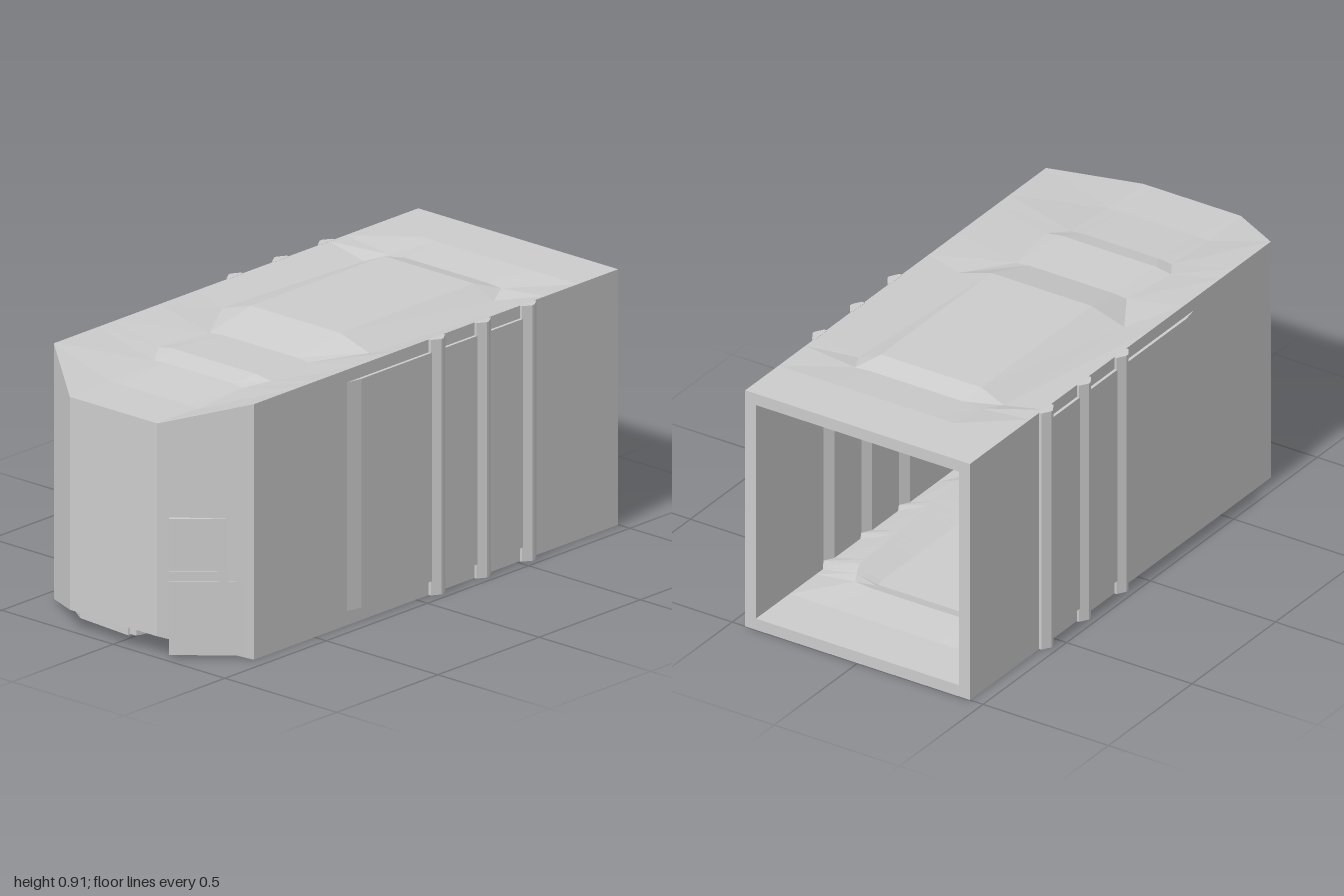
import * as THREE from 'three';

const mat = new THREE.MeshStandardMaterial({ color: 0xcccccc, flatShading: true });

function add(parent, name, geo, x = 0, y = 0, z = 0) {
  const m = new THREE.Mesh(geo, mat);
  m.name = name;
  m.position.set(x, y, z);
  parent.add(m);
  return m;
}

// Box given by its min and max on each axis
function block(parent, name, x0, x1, y0, y1, z0, z1) {
  return add(parent, name, new THREE.BoxGeometry(x1 - x0, y1 - y0, z1 - z0),
    (x0 + x1) / 2, (y0 + y1) / 2, (z0 + z1) / 2);
}

// Upright prism from [x, z] corners, standing between two heights
function prism(parent, name, corners, y0, y1) {
  const s = new THREE.Shape(corners.map(([x, z]) => new THREE.Vector2(x, -z)));
  const g = new THREE.ExtrudeGeometry(s, { depth: y1 - y0, bevelEnabled: false }).rotateX(-Math.PI / 2);
  return add(parent, name, g, 0, y0, 0);
}

// Flat-shaded skin over a row of rings, closed at both ends
function skin(rings) {
  const n = rings[0].length, idx = [];
  for (let r = 0; r < rings.length - 1; r++) {
    for (let j = 0; j < n; j++) {
      const a = r * n + j, b = r * n + (j + 1) % n;
      idx.push(a, b, b + n, a, b + n, a + n);
    }
  }
  const e = (rings.length - 1) * n;
  for (let j = 1; j < n - 1; j++) idx.push(0, j + 1, j, e, e + j, e + j + 1);
  const g = new THREE.BufferGeometry();
  g.setAttribute('position', new THREE.Float32BufferAttribute(rings.flat(2), 3));
  g.setIndex(idx);
  const flat = g.toNonIndexed();
  flat.computeVertexNormals();
  return flat;
}

// Relief of roof and floor: x, edge dip, valley z, valley dip, crown z, crown dip
const relief = [
  [-1, 0.075, 0.19, 0.075, 0.15, 0.075],
  [-0.8, 0, 0.2, 0.075, 0.15, 0.073],
  [-0.58, 0, 0.2, 0.06, 0.15, 0.055],
  [-0.5, 0, 0.25, 0.045, 0.19, 0.035],
  [-0.28, 0, 0.22, 0.045, 0.17, 0.04],
  [-0.1, 0, 0.33, 0.033, 0.2, -0.007],
  [0.56, 0, 0.29, 0.033, 0.2, -0.007],
  [0.64, 0, 0.25, 0.02, 0.18, 0.015],
  [0.8, 0, 0.25, 0, 0.18, 0],
  [1, 0, 0.25, 0, 0.18, 0],
];

function reliefAt(x) {
  const i = Math.max(1, relief.findIndex((r) => r[0] >= x));
  const a = relief[i - 1], b = relief[i], t = (x - a[0]) / (b[0] - a[0]);
  return a.map((v, k) => v + (b[k] - v) * t);
}

// Hull section: floor from left to right, then roof back again
function section(x, halfWidth, inset) {
  const [, edge, vz, valley, cz, crown] = reliefAt(x);
  const half = [[halfWidth, edge], [Math.min(vz, halfWidth - 0.005), valley], [cz, crown]];
  const row = [...half, ...half.map(([z, d]) => [-z, d]).reverse()];
  const floor = row.map(([z, d]) => [x, Math.max(0, d) + inset, z]);
  const roof = row.map(([z, d]) => [x, 0.9 - d - inset, z]).reverse();
  return [...floor, ...roof];
}

// Hollow hull: outside from nose to opening, then back along the inside
function hullGeometry() {
  const rings = relief.map(([x]) => section(x, x === -1 ? 0.195 : 0.448, 0));
  // Inner wall is set back behind the side panels, with a groove behind each rib
  const inside = [[1, 0.405], [0.8, 0.405], [0.64, 0.405], [0.6, 0.405]];
  for (const x of [0.55, 0.325, 0.1]) inside.push([x + 0.035, 0.415], [x, 0.435], [x - 0.035, 0.415]);
  inside.push([-0.1, 0.415], [-0.28, 0.415], [-0.34, 0.405], [-0.5, 0.405], [-0.58, 0.405],
    [-0.78, 0.405], [-0.96, 0.17]);
  for (const [x, w] of inside) rings.push(section(x, w, 0.043));
  return skin(rings);
}

export function createModel() {
  const root = new THREE.Group();
  root.name = 'compartment';
  add(root, 'hull', hullGeometry());

  // Side panels that fade in at the rear, and sharp upright ribs, on both sides
  for (const s of [1, -1]) {
    const mirror = (pts) => pts.map(([x, z]) => [x, s * z]);
    prism(root, 'sidePanel', mirror([[-0.34, 0.44], [0.58, 0.44], [0.58, 0.459], [-0.28, 0.459], [-0.34, 0.448]]), 0.05, 0.855);
    for (const x of [0.1, 0.325, 0.55]) {
      prism(root, 'rib', mirror([[x - 0.036, 0.445], [x + 0.036, 0.445], [x + 0.036, 0.457],
        [x + 0.005, 0.476], [x - 0.005, 0.476], [x - 0.036, 0.457]]), 0, 0.9);
    }
  }

  // Desk that follows the nose wall
  const desk = new THREE.Group();
  desk.name = 'desk';
  root.add(desk);
  prism(desk, 'deskTop', [[-0.975, 0.11], [-0.77, 0.11], [-0.75, -0.375], [-0.81, -0.375], [-0.975, -0.17]], 0.255, 0.28);
  prism(desk, 'deskApron', [[-0.965, 0.06], [-0.93, 0.06], [-0.81, -0.31], [-0.85, -0.31], [-0.965, -0.17]], 0.235, 0.255);
  prism(desk, 'backPanel', [[-0.965, 0.055], [-0.94, -0.17], [-0.85, -0.31], [-0.87, -0.32], [-0.965, -0.18], [-0.985, 0.055]], 0.04, 0.255);
  prism(desk, 'innerLeg', [[-0.98, 0.055], [-0.79, 0.09], [-0.77, 0.11], [-0.79, 0.13], [-0.98, 0.085]], 0.045, 0.255);
  prism(desk, 'outerLeg', [[-0.84, -0.34], [-0.77, -0.31], [-0.75, -0.34], [-0.79, -0.378]], 0.045, 0.28);

  // Two screens on thin posts, and a small desk object
  prism(desk, 'mainScreen', [[-0.91, -0.115], [-0.88, -0.115], [-0.84, -0.28], [-0.87, -0.28]], 0.305, 0.41);
  prism(desk, 'sideScreen', [[-0.86, -0.285], [-0.83, -0.285], [-0.77, -0.37], [-0.8, -0.37]], 0.305, 0.41);
  for (const [x, z] of [[-0.88, -0.18], [-0.87, -0.21], [-0.81, -0.33]]) {
    block(desk, 'screenPost', x - 0.006, x + 0.006, 0.28, 0.31, z - 0.005, z + 0.005);
  }
  block(desk, 'deskObject', -0.9, -0.84, 0.28, 0.297, -0.09, -0.025);

  // Seat unit set into the slanted corner; local z points out through the wall
  const seat = new THREE.Group();
  seat.name = 'cornerSeat';
  seat.position.set(-0.905, 0, 0.325);
  seat.rotation.y = -0.85;
  root.add(seat);
  block(seat, 'seatBack', -0.12, 0.07, 0.31, 0.495, -0.085, 0.003);
  block(seat, 'seatTop', -0.12, 0.08, 0.275, 0.307, -0.19, 0);
  block(seat, 'seatRear', -0.12, 0.13, 0.015, 0.275, -0.02, 0.003);
  for (const x of [-0.11, 0.07]) block(seat, 'seatSide', x - 0.01, x + 0.01, 0.015, 0.275, -0.15, -0.02);
  return root;
}
